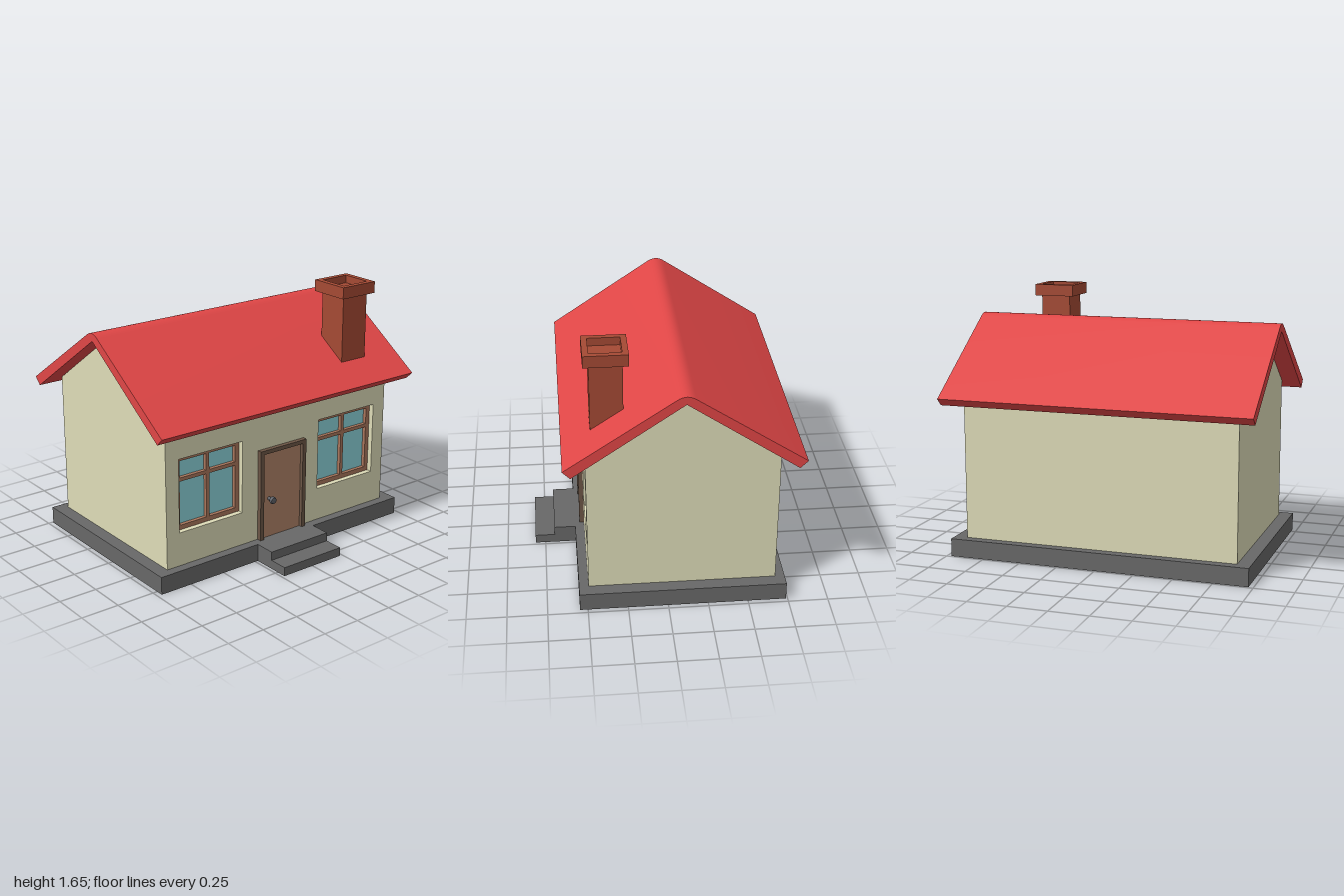
import * as THREE from 'three';
import { toCreasedNormals } from 'three/addons/utils/BufferGeometryUtils.js';

const material = (color) => new THREE.MeshStandardMaterial({ color });
const mats = {
  roof: material(0xe04646),
  wall: material(0xdedcb8),
  stone: material(0x686868),
  brick: material(0xa54a34),
  windowFrame: material(0xa9765c),
  glass: material(0x8cd5dc),
  doorFrame: material(0x6c5646),
  door: material(0xb08368),
  knob: material(0x5c5f66),
};

function mesh(name, geometry, mat) {
  const m = new THREE.Mesh(geometry, mat);
  m.name = name;
  return m;
}

// Box given by its extents along each axis
function box(name, mat, [x0, x1], [y0, y1], [z0, z1]) {
  const m = mesh(name, new THREE.BoxGeometry(x1 - x0, y1 - y0, z1 - z0), mat);
  m.position.set((x0 + x1) / 2, (y0 + y1) / 2, (z0 + z1) / 2);
  return m;
}

const polygon = (points) => new THREE.Shape(points.map(([x, y]) => new THREE.Vector2(x, y)));

function rectangle(x0, x1, y0, y1, Type = THREE.Shape) {
  const r = new Type();
  r.moveTo(x0, y0);
  r.lineTo(x1, y0);
  r.lineTo(x1, y1);
  r.lineTo(x0, y1);
  r.closePath();
  return r;
}

const extrude = (shape, depth) =>
  new THREE.ExtrudeGeometry(shape, { depth, bevelEnabled: false, curveSegments: 8 });

// Panel drawn in the z-y plane (symmetric in z) and extruded along x
function sidePanel(name, mat, shape, x0, x1) {
  const m = mesh(name, extrude(shape, x1 - x0).rotateY(Math.PI / 2), mat);
  m.position.x = x0;
  return m;
}

const RIDGE = -0.095, WALL_L = -0.68, WALL_R = 0.49, BASE = 0.115, EAVES = 1.04;
const WIN = { z: 0.55, half: 0.24, y0: 0.335, y1: 0.815 };

function createWalls() {
  const g = new THREE.Group();
  g.name = 'walls';
  // Gable ends
  const gable = polygon([[WALL_L, BASE], [WALL_R, BASE], [WALL_R, EAVES], [RIDGE, 1.445], [WALL_L, EAVES]]);
  for (const z of [-0.885, 0.825]) {
    const m = mesh('gableWall', extrude(gable, 0.06), mats.wall);
    m.position.z = z;
    g.add(m);
  }
  // Plain long wall, and the entrance wall with two window openings
  g.add(box('rearLongWall', mats.wall, [WALL_L, WALL_L + 0.06], [BASE, EAVES], [-0.825, 0.825]));
  const wall = rectangle(-0.825, 0.825, BASE, EAVES);
  for (const s of [-1, 1]) {
    wall.holes.push(rectangle(s * WIN.z - WIN.half, s * WIN.z + WIN.half, WIN.y0, WIN.y1, THREE.Path));
  }
  g.add(sidePanel('entranceWall', mats.wall, wall, WALL_R - 0.09, WALL_R));
  return g;
}

function createRoof() {
  // Bent slab with a rounded ridge
  const s = new THREE.Shape();
  s.moveTo(-0.77, 0.983);
  s.lineTo(RIDGE, 1.443);
  s.lineTo(0.58, 0.983);
  s.lineTo(0.628, 1.03);
  s.lineTo(RIDGE + 0.055, 1.474);
  s.quadraticCurveTo(RIDGE, 1.511, RIDGE - 0.055, 1.474);
  s.lineTo(-0.818, 1.03);
  s.closePath();
  const m = mesh('roof', toCreasedNormals(extrude(s, 2), 0.6), mats.roof);
  m.position.z = -1;
  return m;
}

function createChimney() {
  const g = new THREE.Group();
  g.name = 'chimney';
  g.add(box('chimneyShaft', mats.brick, [-0.1, 0.1], [1.1, 1.605], [-0.1, 0.1]));
  // Cap is a square ring around the top of the shaft
  const ring = rectangle(-0.135, 0.135, -0.135, 0.135);
  ring.holes.push(rectangle(-0.098, 0.098, -0.098, 0.098, THREE.Path));
  const cap = mesh('chimneyCap', extrude(ring, 0.075).rotateX(-Math.PI / 2), mats.brick);
  cap.position.y = 1.58;
  g.add(cap);
  g.position.set(0.35, 0, -0.632);
  return g;
}

function createWindow(z) {
  const g = new THREE.Group();
  g.name = 'window';
  // Frame with two small panes above two tall ones
  const { half, y0, y1 } = WIN, b = 0.03, c = 0.012;
  const frame = rectangle(-half, half, y0, y1);
  for (const [a0, a1] of [[-half + b, -c], [c, half - b]]) {
    for (const [h0, h1] of [[y0 + b, 0.652], [0.676, y1 - b]]) {
      frame.holes.push(rectangle(a0, a1, h0, h1, THREE.Path));
    }
  }
  g.add(sidePanel('windowFrame', mats.windowFrame, frame, 0.415, 0.455));
  g.add(box('windowGlass', mats.glass, [0.415, 0.43], [y0 + 0.01, y1 - 0.01], [-half + 0.01, half - 0.01]));
  g.position.z = z;
  return g;
}

function createDoor() {
  const g = new THREE.Group();
  g.name = 'door';
  const frame = polygon([
    [-0.185, BASE], [-0.157, BASE], [-0.157, 0.697], [0.157, 0.697],
    [0.157, BASE], [0.185, BASE], [0.185, 0.723], [-0.185, 0.723],
  ]);
  g.add(sidePanel('doorFrame', mats.doorFrame, frame, 0.47, 0.52));
  g.add(box('doorPanel', mats.door, [0.46, 0.496], [BASE, 0.7], [-0.158, 0.158]));
  // Turned knob pointing outwards
  const profile = [[0.012, 0], [0.012, 0.028], [0.022, 0.033], [0.024, 0.044], [0.02, 0.054], [0, 0.057]]
    .map(([r, h]) => new THREE.Vector2(r, h));
  const knob = mesh('doorKnob', toCreasedNormals(new THREE.LatheGeometry(profile, 16), 0.7), mats.knob);
  knob.rotation.z = -Math.PI / 2;
  knob.position.set(0.494, 0.38, 0.1);
  g.add(knob);
  return g;
}

export function createModel() {
  const house = new THREE.Group();
  house.name = 'house';
  // Foundation and entrance steps
  house.add(
    box('foundation', mats.stone, [-0.74, 0.55], [0, BASE], [-0.97, 0.97]),
    box('upperStep', mats.stone, [0.55, 0.688], [0, BASE], [-0.23, 0.23]),
    box('lowerStep', mats.stone, [0.688, 0.815], [0, 0.058], [-0.23, 0.23]),
  );
  house.add(createWalls(), createRoof(), createChimney(), createDoor());
  for (const s of [-1, 1]) house.add(createWindow(s * WIN.z));
  return house;
}
